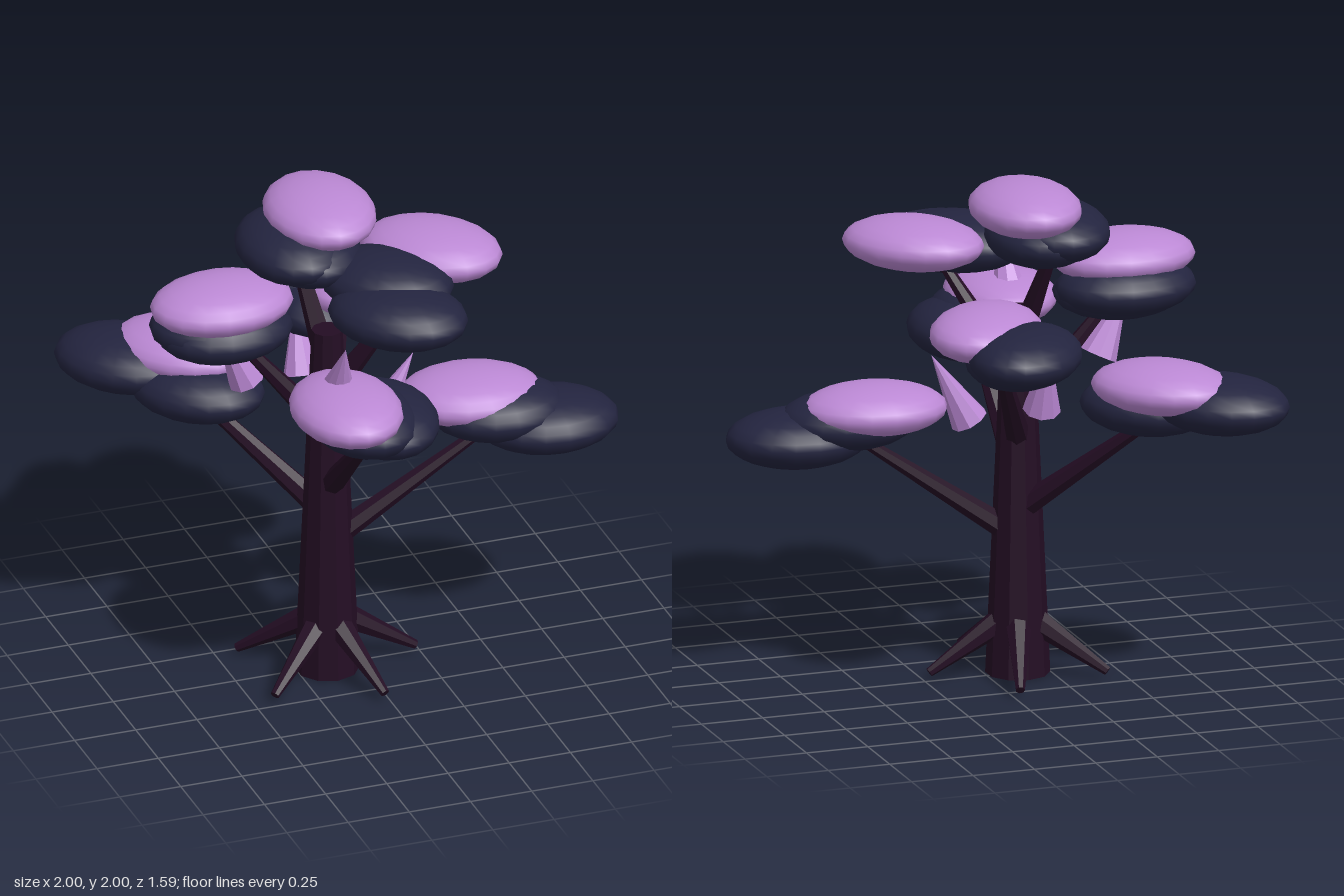
import * as THREE from 'three';

const bark = new THREE.MeshStandardMaterial({ color: 0x230d23, flatShading: true });
bark.name = 'dark plum bark';
const pink = new THREE.MeshStandardMaterial({ color: 0xbb88d4 });
pink.name = 'lilac leaves';
const bloom = new THREE.MeshStandardMaterial({ color: 0xbb88d4, flatShading: true });
bloom.name = 'lilac blossom';
const navy = new THREE.MeshStandardMaterial({ color: 0x23243f });
navy.name = 'midnight leaves';

const TRUNK = new THREE.Vector3(-0.13, 0, 0.01);
const UP = new THREE.Vector3(0, 1, 0);

// Tapered limb between two points
function limb(name, from, to, r0, r1, sides, material) {
  const a = new THREE.Vector3(...from), b = new THREE.Vector3(...to);
  const dir = b.clone().sub(a);
  const mesh = new THREE.Mesh(new THREE.CylinderGeometry(r1, r0, dir.length(), sides), material);
  mesh.position.copy(a).add(b).multiplyScalar(0.5);
  mesh.quaternion.setFromUnitVectors(UP, dir.normalize());
  mesh.name = name;
  return mesh;
}

// Flattened leaf cloud, its long axis turned by yaw degrees
const cloudGeometry = new THREE.SphereGeometry(1, 18, 12);
function cloud(name, material, position, yaw, size) {
  const mesh = new THREE.Mesh(cloudGeometry, material);
  mesh.name = name;
  mesh.position.set(...position);
  mesh.rotation.y = THREE.MathUtils.degToRad(yaw);
  mesh.scale.set(...size);
  return mesh;
}

export function createModel() {
  const tree = new THREE.Group();
  tree.name = 'tree';

  // Trunk
  tree.add(limb('trunk', [-0.13, 0, 0.01], [-0.13, 1.46, 0.01], 0.125, 0.06, 10, bark));

  // Five roots spread evenly around the foot
  for (let i = 0; i < 5; i++) {
    const t = (i / 5) * Math.PI * 2, c = Math.cos(t), s = Math.sin(t);
    tree.add(limb('root' + (i + 1),
      [TRUNK.x + c * 0.04, 0.23, TRUNK.z + s * 0.04],
      [TRUNK.x + c * 0.36, 0.032, TRUNK.z + s * 0.36], 0.055, 0.018, 7, bark));
  }

  // Branches: start, end
  const branches = [
    [[-0.12, 0.55, 0.01], [0.5, 0.98, 0.1]],
    [[-0.13, 0.66, -0.02], [-0.58, 1.12, -0.42]],
    [[-0.13, 0.78, 0.02], [-0.12, 1.24, 0.5]],
    [[-0.12, 0.95, -0.02], [0.08, 1.38, -0.37]],
    [[-0.13, 1.03, 0], [-0.5, 1.48, -0.04]],
    [[-0.12, 1.18, 0.01], [0.13, 1.64, 0.19]],
    [[-0.12, 1.3, -0.01], [-0.19, 1.78, -0.25]],
  ];
  branches.forEach(([a, b], i) =>
    tree.add(limb('branch' + (i + 1), a, b, 0.05, 0.02, 7, bark)));

  // Foliage: yaw of the cluster, one lilac cloud, then two midnight clouds
  const clusters = [
    ['leftFoliage', -8, [0.44, 1.1, 0.05], [0.72, 0.985, 0.14], [0.53, 1.05, 0.1]],
    ['backRightFoliage', -45, [-0.55, 1.23, -0.46], [-0.75, 1.17, -0.56], [-0.54, 1.12, -0.32]],
    ['frontFoliage', 88, [-0.23, 1.37, 0.495], [-0.06, 1.265, 0.43], [-0.15, 1.3, 0.47]],
    ['backLeftFoliage', 55, [0.12, 1.48, -0.33], [0.03, 1.43, -0.53], [0, 1.38, -0.39]],
    ['rightFoliage', 2, [-0.55, 1.635, -0.02], [-0.54, 1.53, -0.07], [-0.53, 1.51, -0.04]],
    ['upperFrontFoliage', -45, [0.285, 1.75, 0.04], [0.04, 1.65, 0.335], [0.06, 1.705, 0.15]],
    ['topFoliage', 87, [-0.11, 1.9, -0.13], [-0.235, 1.79, -0.1], [-0.18, 1.77, -0.09]],
  ];
  for (const [name, yaw, light, dark1, dark2] of clusters) {
    const group = new THREE.Group();
    group.name = name;
    group.add(
      cloud('lilacCloud', pink, light, yaw, [0.285, 0.1, 0.213]),
      cloud('midnightCloudOuter', navy, dark1, yaw, [0.28, 0.113, 0.215]),
      cloud('midnightCloudInner', navy, dark2, yaw, [0.27, 0.113, 0.21]));
    tree.add(group);
  }

  // Hanging blossom cones: base centre, tip
  const cones = [
    [[0.065, 1.025, 0.015], [0.22, 1.3, 0.015]],
    [[-0.23, 1.38, 0.38], [-0.245, 1.645, 0.53]],
    [[-0.43, 1.26, -0.07], [-0.56, 1.53, -0.05]],
    [[-0.13, 1.13, -0.265], [-0.12, 1.41, -0.38]],
  ];
  cones.forEach(([base, tip], i) =>
    tree.add(limb('blossomCone' + (i + 1), base, tip, 0.075, 0, 9, bloom)));

  return tree;
}
